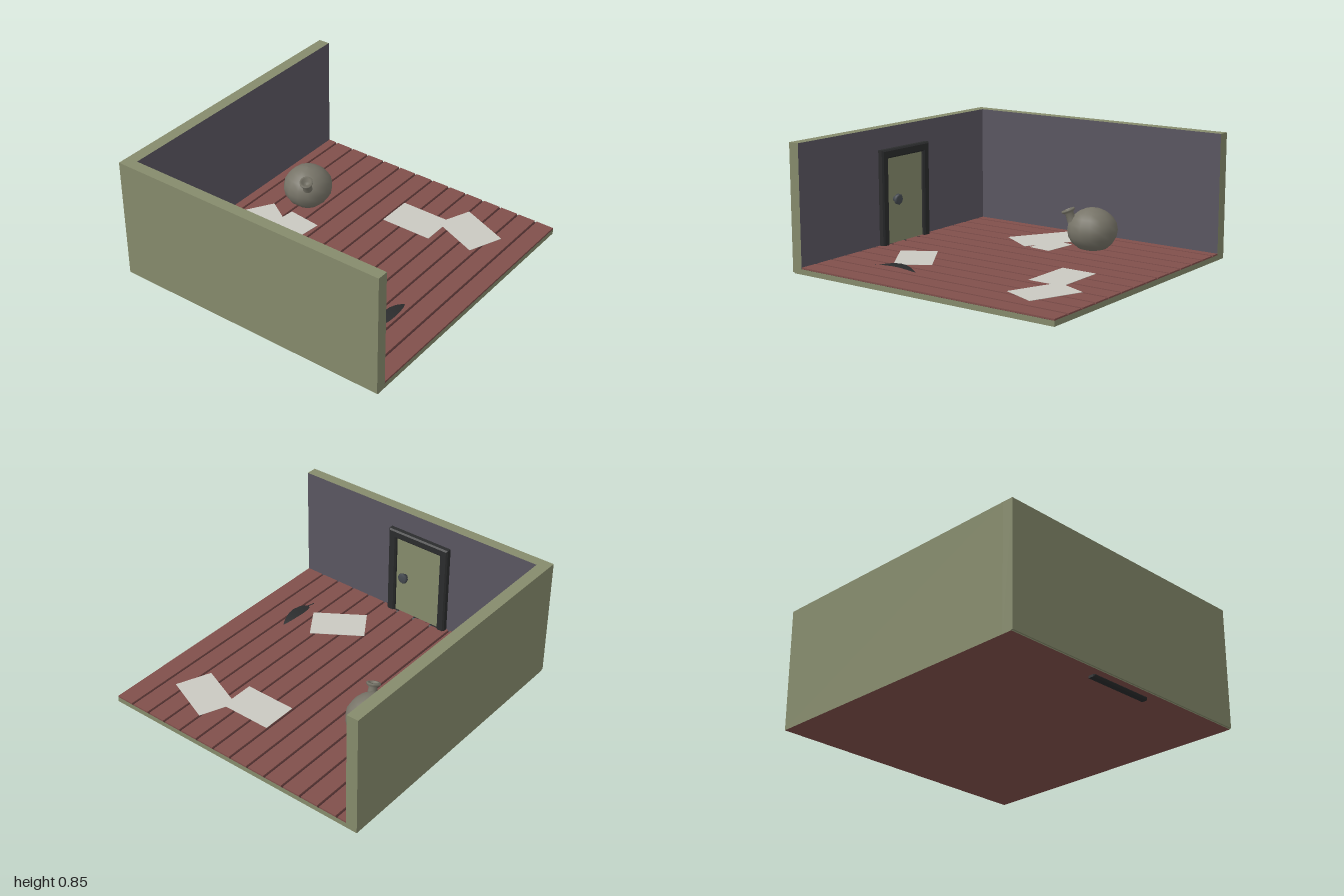
import * as THREE from 'three';

const paint = (name, color, side = THREE.FrontSide) => {
  const m = new THREE.MeshStandardMaterial({ color, side });
  m.name = name;
  return m;
};

export function createModel() {
  const olive = paint('olive', 0x868b6c);
  const mauve = paint('mauve grey', 0x5a5661);
  const red = paint('red brown', 0x804f4b);
  const groove = paint('dark brown', 0x45292a);
  const white = paint('paper', 0xcac9c1, THREE.DoubleSide);
  const charcoal = paint('charcoal', 0x2b2c2d, THREE.DoubleSide);
  const clay = paint('clay grey', 0x777468, THREE.DoubleSide);
  const metal = paint('metal', 0x454a50);

  const model = new THREE.Group();
  model.name = 'room';
  const add = (name, geometry, material, parent = model) => {
    const mesh = new THREE.Mesh(geometry, material);
    mesh.name = name;
    parent.add(mesh);
    return mesh;
  };
  // box given by its lower and upper corners
  const box = (name, [x0, y0, z0], [x1, y1, z1], material, parent) => {
    const mesh = add(name, new THREE.BoxGeometry(x1 - x0, y1 - y0, z1 - z0), material, parent);
    mesh.position.set((x0 + x1) / 2, (y0 + y1) / 2, (z0 + z1) / 2);
    return mesh;
  };

  // walls, with a different colour on the inner faces
  const L = -0.98, R = 0.97, inX = -0.9, inZ = 0.925, top = 0.85;
  box('sideWall', [L, 0.021, -1], [inX, top, inZ], [mauve, olive, olive, olive, olive, olive]);
  box('frontWall', [L, 0.021, inZ], [R, top, 1], [olive, olive, olive, olive, olive, mauve]);

  // floor slab, underside and planks with dark gaps
  box('floorSlab', [inX, 0.021, -1], [R, 0.05, inZ], [olive, olive, groove, olive, olive, olive]);
  box('underside', [L, 0.015, -1], [R, 0.021, 0.99], [olive, olive, olive, red, olive, olive]);
  const planks = new THREE.Group();
  planks.name = 'planks';
  model.add(planks);
  const pitch = 0.139, gap = 0.008;
  for (let i = 0; i < 14; i++) {
    const x = -0.97 + i * pitch;
    box('plank', [Math.max(inX, x + gap), 0.05, -1], [Math.min(R, x + pitch - gap), 0.06, inZ], red, planks);
  }

  // door frame, panel and knob
  const door = new THREE.Group();
  door.name = 'door';
  model.add(door);
  const rect = (path, x0, y0, x1, y1) =>
    path.setFromPoints([[x0, y0], [x1, y0], [x1, y1], [x0, y1], [x0, y0]].map((p) => new THREE.Vector2(...p)));
  const frame = rect(new THREE.Shape(), -0.24, 0.01, 0.22, 0.695);
  frame.holes.push(rect(new THREE.Path(), -0.2, 0.05, 0.18, 0.655));
  add('doorFrame', new THREE.ExtrudeGeometry(frame, {
    depth: 0.035, bevelEnabled: true, bevelThickness: 0.01, bevelSize: 0.01, bevelSegments: 1,
  }), charcoal, door).position.z = 0.895;
  box('doorPanel', [-0.2, 0.05, 0.908], [0.18, 0.655, 0.93], olive, door);
  const knobProfile = [[0, 0], [0.018, 0], [0.018, 0.02], [0.036, 0.024], [0.038, 0.04], [0.028, 0.048], [0, 0.048]];
  const knobGeometry = new THREE.LatheGeometry(knobProfile.map((p) => new THREE.Vector2(...p)), 8);
  const knob = add('doorKnob', knobGeometry, metal, door);
  knob.rotation.x = -Math.PI / 2;
  knob.position.set(0.093, 0.36, 0.908);

  // loose sheets: centre x, centre z, length, width, turn in degrees
  const sheets = [
    [0.193, -0.525, 0.365, 0.25, 0],
    [0.543, -0.637, 0.367, 0.252, -22.4],
    [0.358, 0.505, 0.372, 0.247, 33.5],
    [-0.578, 0.132, 0.447, 0.29, -31.7],
    [-0.425, -0.01, 0.24, 0.165, -6],
  ];
  sheets.forEach(([x, z, l, w, turn], i) => {
    const sheet = add('paperSheet', new THREE.BoxGeometry(l, 0.002, w), white);
    sheet.position.set(x, 0.0625 + i * 0.0007, z);
    sheet.rotation.y = THREE.MathUtils.degToRad(turn);
  });

  // round pot with a flat foot and slightly uneven sides
  const body = new THREE.SphereGeometry(1, 14, 10);
  const p = body.attributes.position;
  for (let i = 0; i < p.count; i++) {
    const x = p.getX(i), y = p.getY(i), z = p.getZ(i);
    const swell = 1 + 0.025 * Math.sin(4 * x + 2) * Math.cos(5 * z);
    p.setXYZ(i, x * 0.162 * swell, Math.max(y * 0.148, -0.133), z * 0.168 * swell);
  }
  body.computeVertexNormals();
  const pot = new THREE.Group();
  pot.name = 'pot';
  pot.position.set(-0.526, 0.192, -0.272);
  model.add(pot);
  add('potBody', body, clay, pot);
  const neckProfile = [[0.034, -0.07], [0.028, -0.015], [0.046, 0], [0.046, 0.012], [0.03, 0.014], [0.024, -0.015], [0, -0.02]];
  const neck = add('potNeck', new THREE.LatheGeometry(neckProfile.map((q) => new THREE.Vector2(...q)), 12), clay, pot);
  neck.position.set(0.091, 0.124, 0.132);
  neck.quaternion.setFromUnitVectors(new THREE.Vector3(0, 1, 0), new THREE.Vector3(0.15, 1, 0.4).normalize());

  // arched feather: z, height and half width of each cross-section
  const ribs = [
    [0.595, 0.064, 0.004], [0.53, 0.078, 0.005], [0.52, 0.08, 0.022], [0.48, 0.088, 0.036],
    [0.42, 0.094, 0.043], [0.37, 0.092, 0.038], [0.32, 0.082, 0.026], [0.285, 0.071, 0.012], [0.265, 0.064, 0.001],
  ];
  const points = [], faces = [];
  ribs.forEach(([z, y, w], i) => {
    points.push(0.65 - w, y - w * 0.1, z, 0.648, y, z, 0.65 + w, y - w * 0.1, z);
    if (i === 0) return;
    for (let k = 0; k < 2; k++) {
      const a = (i - 1) * 3 + k, b = a + 3;
      faces.push(a, a + 1, b, a + 1, b + 1, b);
    }
  });
  const feather = new THREE.BufferGeometry();
  feather.setAttribute('position', new THREE.Float32BufferAttribute(points, 3));
  feather.setIndex(faces);
  feather.computeVertexNormals();
  add('feather', feather, charcoal);

  return model;
}
